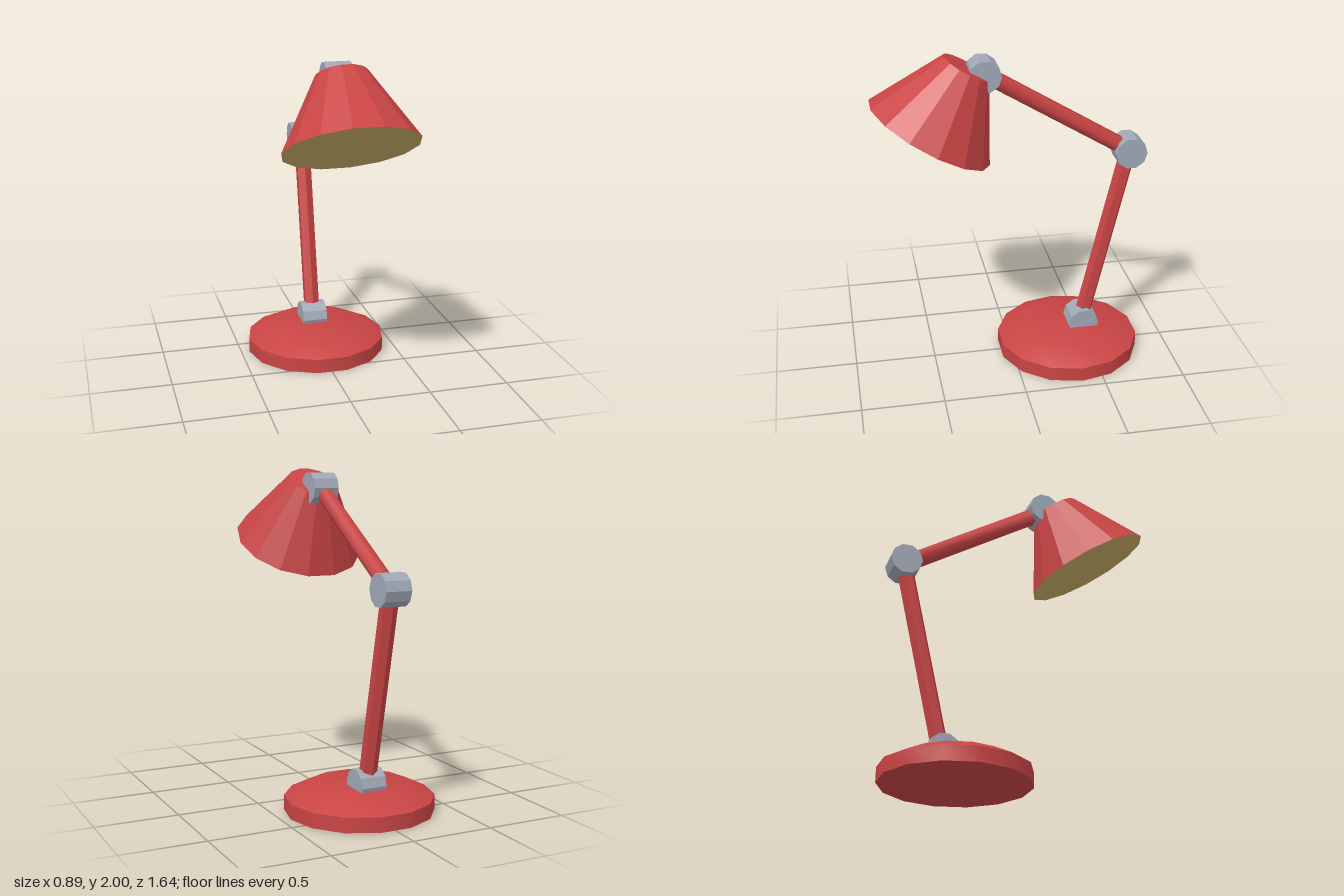
import * as THREE from 'three';
import { toCreasedNormals } from 'three/addons/utils/BufferGeometryUtils.js';

const paint = new THREE.MeshStandardMaterial({ name: 'red paint', color: 0xc94444 });
const metal = new THREE.MeshStandardMaterial({ name: 'grey metal', color: 0xa0a8b6 });
const glow = new THREE.MeshStandardMaterial({ name: 'warm light', color: 0xc4aa66 });

const flat = (geo) => toCreasedNormals(geo, 0.01);

function addMesh(group, name, geo, material) {
  const mesh = new THREE.Mesh(geo, material);
  mesh.name = name;
  group.add(mesh);
  return mesh;
}

// Ten-sided hinge lying along x
function addJoint(group, name, [y, z]) {
  const geo = flat(new THREE.CylinderGeometry(0.097, 0.097, 0.16, 10));
  geo.rotateZ(Math.PI / 2);
  addMesh(group, name, geo, metal).position.set(0, y, z);
}

// Six-sided rod between two hinges; twist turns it about its own axis
function addArm(group, name, [y0, z0], [y1, z1], twist, crease) {
  const length = Math.hypot(y1 - y0, z1 - z0);
  const geo = toCreasedNormals(new THREE.CylinderGeometry(0.052, 0.052, length, 6), crease);
  geo.rotateY(twist);
  const arm = addMesh(group, name, geo, paint);
  arm.position.set(0, (y0 + y1) / 2, (z0 + z1) / 2);
  arm.rotation.x = Math.atan2(z1 - z0, y1 - y0);
}

export function createModel() {
  const lamp = new THREE.Group();
  lamp.name = 'deskLamp';

  // Base with a sloped upper edge
  const profile = [[0, 0], [0.447, 0], [0.447, 0.09], [0.31, 0.157], [0, 0.157]]
    .map(([r, y]) => new THREE.Vector2(r, y));
  const baseGeo = toCreasedNormals(new THREE.LatheGeometry(profile, 14), 0.6);
  baseGeo.rotateY(Math.PI / 2);
  addMesh(lamp, 'base', baseGeo, paint).position.z = -0.366;

  // Hinges and arms, as [y, z] points
  const foot = [0.18, -0.457];
  const elbow = [1.345, -0.723];
  const neck = [1.883, 0.165];
  addJoint(lamp, 'baseJoint', foot);
  addJoint(lamp, 'elbowJoint', elbow);
  addJoint(lamp, 'headJoint', neck);
  addArm(lamp, 'lowerArm', foot, elbow, 0, 0.01);
  addArm(lamp, 'upperArm', elbow, neck, Math.PI / 6, 1.2);

  // Tilted shade, closed below by the light disc
  const shadeGeo = new THREE.CylinderGeometry(0.152, 0.4, 0.443, 14);
  shadeGeo.rotateY(Math.PI / 2);
  const shade = addMesh(lamp, 'lampShade', flat(shadeGeo), [paint, paint, glow]);
  shade.position.set(0, 1.732, 0.373);
  shade.rotation.x = -Math.PI / 6;

  return lamp;
}
